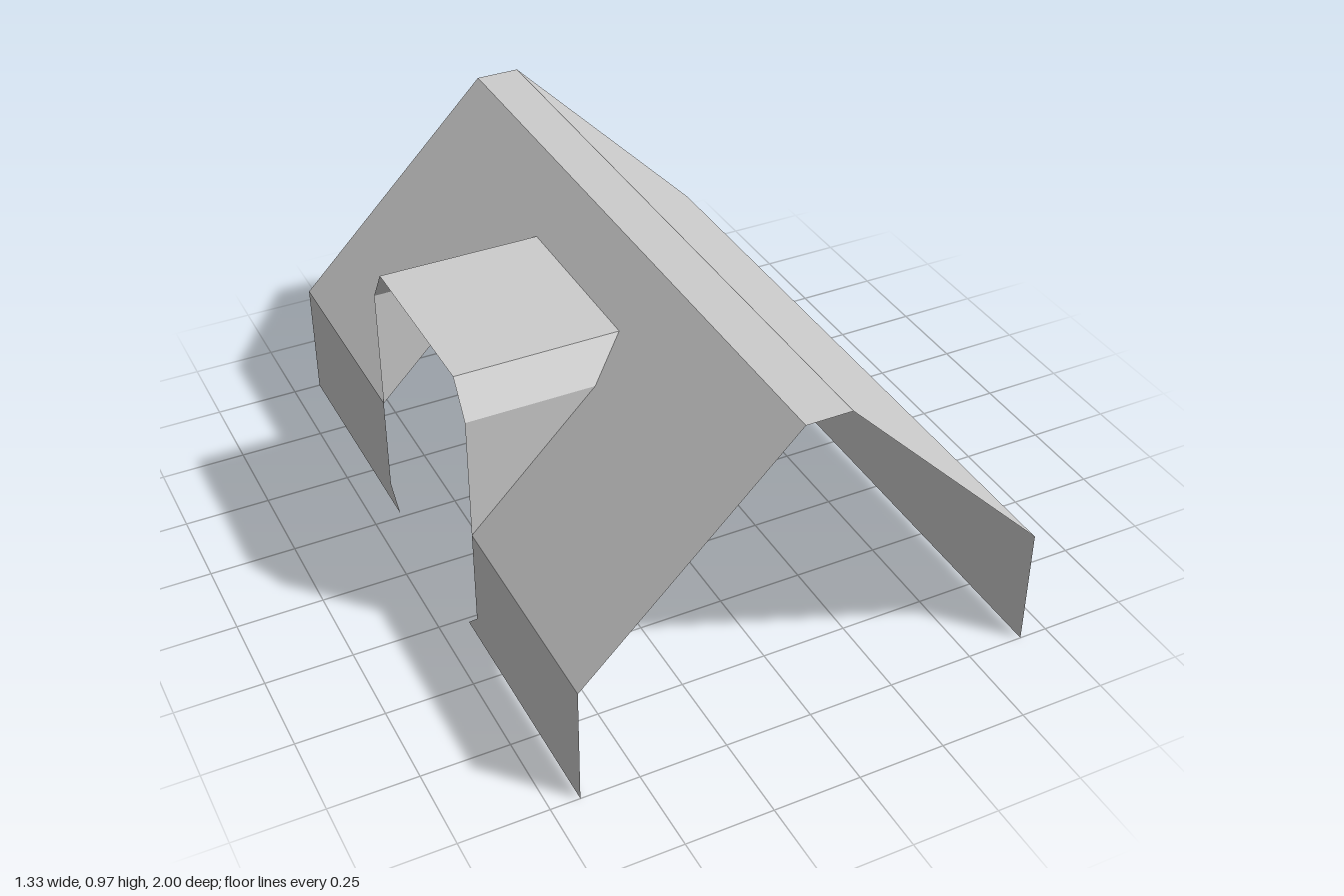
import * as THREE from 'three';

const HALF_W = 0.667, EAVE = 0.36, RIDGE = 0.967, RIDGE_HALF = 0.065;

// distance of the shell from the centre plane at height y
const shellX = (y) => y <= EAVE ? HALF_W
  : HALF_W - (HALF_W - RIDGE_HALF) * (y - EAVE) / (RIDGE - EAVE);

export function createModel() {
  const group = new THREE.Group();
  const grey = new THREE.MeshStandardMaterial({ color: 0xcccccc, side: THREE.DoubleSide });
  grey.name = 'plain grey';

  const add = (name, geometry) => {
    const mesh = new THREE.Mesh(geometry, grey);
    mesh.name = name;
    group.add(mesh);
  };

  // flat outline in (z, y), laid onto the shell on the given side
  const panel = (name, side, outline) => {
    const geo = new THREE.ShapeGeometry(new THREE.Shape(outline.map(([u, y]) => new THREE.Vector2(u, y))));
    const p = geo.attributes.position;
    for (let i = 0; i < p.count; i++) {
      const u = p.getX(i), y = p.getY(i);
      p.setXYZ(i, side * shellX(y), y, -side * u);
    }
    geo.computeVertexNormals();
    add(name, geo);
  };

  // four-cornered face, corners counter-clockwise from outside
  const quad = (name, a, b, c, d) => {
    const geo = new THREE.BufferGeometry();
    geo.setAttribute('position', new THREE.Float32BufferAttribute([a, b, c, a, c, d].flat(), 3));
    geo.computeVertexNormals();
    add(name, geo);
  };

  // ridge cap and the unbroken left side
  quad('ridgeCap', [-RIDGE_HALF, RIDGE, 1], [RIDGE_HALF, RIDGE, 1],
    [RIDGE_HALF, RIDGE, -1], [-RIDGE_HALF, RIDGE, -1]);
  panel('leftWall', 1, [[-1, 0], [1, 0], [1, EAVE], [-1, EAVE]]);
  panel('leftRoof', 1, [[-1, EAVE], [1, EAVE], [1, RIDGE], [-1, RIDGE]]);

  // bevelled passage section, from one foot over the top to the other
  const arch = [[-0.333, EAVE], [-0.333, 0.73], [-0.267, 0.833],
    [0.267, 0.833], [0.333, 0.73], [0.333, EAVE]];

  // right roof with the passage cut out of its lower edge
  panel('rightRoof', -1, [[-1, EAVE], ...arch, [1, EAVE], [1, RIDGE], [-1, RIDGE]]);

  // right wall in two pieces, each with a small bevelled toe at the opening
  for (const s of [-1, 1]) {
    panel(s < 0 ? 'rightWallBack' : 'rightWallFront', -1,
      [[s, 0], [s * 0.267, 0], [s * 0.333, 0.065], [s * 0.333, EAVE], [s, EAVE]]);
  }

  // dormer passage running from the wall line into the roof slope
  const names = ['dormerBackSide', 'dormerBackBevel', 'dormerTop', 'dormerFrontBevel', 'dormerFrontSide'];
  names.forEach((name, i) => {
    const [za, ya] = arch[i], [zb, yb] = arch[i + 1];
    quad(name, [-HALF_W, ya, za], [-HALF_W, yb, zb], [-shellX(yb), yb, zb], [-shellX(ya), ya, za]);
  });

  return group;
}
